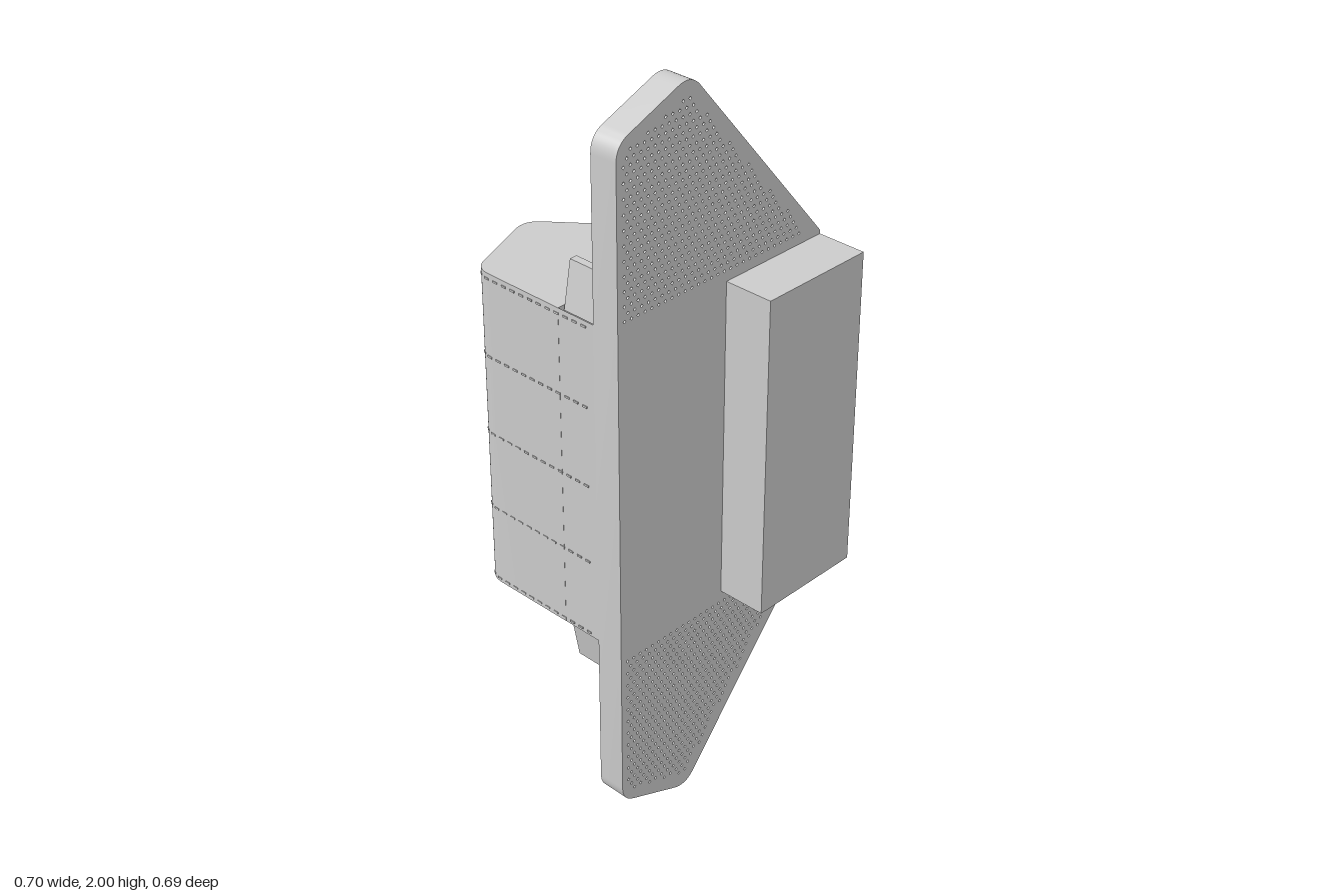
import * as THREE from 'three';
import { mergeGeometries, toCreasedNormals } from 'three/addons/utils/BufferGeometryUtils.js';

const grey = new THREE.MeshStandardMaterial({ color: 0xcccccc });
const sheet = new THREE.MeshStandardMaterial({ color: 0xcccccc, side: THREE.DoubleSide });

// Closed polygon; each corner is [x, y, rounding length]
function roundedPolygon(corners) {
  const shape = new THREE.Shape();
  const n = corners.length;
  corners.forEach(([x, y, r = 0], i) => {
    const toward = ([px, py]) => {
      const d = Math.hypot(px - x, py - y);
      return [x + ((px - x) * r) / d, y + ((py - y) * r) / d];
    };
    const a = toward(corners[(i + n - 1) % n]);
    const b = toward(corners[(i + 1) % n]);
    if (i === 0) shape.moveTo(...a); else shape.lineTo(...a);
    if (r > 0) shape.quadraticCurveTo(x, y, ...b);
  });
  shape.closePath();
  return shape;
}

function extrude(shape, depth) {
  const g = new THREE.ExtrudeGeometry(shape, { depth, bevelEnabled: false, curveSegments: 8 });
  return toCreasedNormals(g, 0.5);
}

// Plan shapes are drawn as (x, -z) and extruded upwards
function extrudeUp(shape, y0, y1) {
  return extrude(shape, y1 - y0).rotateX(-Math.PI / 2).translate(0, y0, 0);
}

export function createModel() {
  const model = new THREE.Group();
  const add = (name, geometry, material = grey) => {
    const mesh = new THREE.Mesh(geometry, material);
    mesh.name = name;
    model.add(mesh);
    return mesh;
  };
  const bottom = 0.555, top = 1.45;

  // Front plate with perforated ends
  const plate = roundedPolygon([
    [0.345, 0.54], [0.345, 1.46], [-0.116, 2.012, 0.045], [-0.35, 1.918, 0.042],
    [-0.35, 0.082, 0.042], [-0.116, -0.012, 0.045],
  ]);
  for (let row = 0; row < 26; row++) {
    const y = 1.48 + row * 0.019;
    for (let col = 0; col < 30; col++) {
      const x = -0.328 + col * 0.022 + (row % 2) * 0.011;
      const roof = Math.min(1.918 + 0.37 * (x + 0.35) - 0.035, 1.46 + 1.197 * (0.345 - x) - 0.05);
      if (y > roof) continue;
      for (const cy of [y, 2 - y]) {
        const hole = new THREE.Path();
        const r = 0.0045;
        hole.moveTo(x + r, cy);
        hole.lineTo(x, cy - r);
        hole.lineTo(x - r, cy);
        hole.lineTo(x, cy + r);
        hole.closePath();
        plate.holes.push(hole);
      }
    }
  }
  add('frontPlate', extrude(plate, 0.01).translate(0, 0, 0.198));

  // Flange bent back along the outer edge of the plate
  const flange = roundedPolygon([
    [-0.085, 1.975], [-0.116, 2.012, 0.045], [-0.35, 1.918, 0.042],
    [-0.35, 0.082, 0.042], [-0.116, -0.012, 0.045], [-0.085, 0.025],
    [-0.092, 0.032], [-0.118, 0, 0.04], [-0.341, 0.089, 0.036],
    [-0.341, 1.911, 0.036], [-0.118, 2, 0.04], [-0.092, 1.968],
  ]);
  add('plateFlange', extrude(flange, 0.078).translate(0, 0, 0.13));

  // Housing with the front block, leaving a vertical channel behind the plate
  const housing = roundedPolygon([
    [0.01, -0.345], [0.345, -0.345], [0.345, -0.195], [-0.106, 0.358, 0.045],
    [-0.35, 0.262, 0.042], [-0.35, -0.015], [0.01, -0.015],
  ]);
  add('housing', extrudeUp(housing, bottom, top));

  // Thin outer wall closing the side of the channel
  const wall = new THREE.PlaneGeometry(0.185, top - bottom).rotateY(-Math.PI / 2);
  add('channelSideWall', wall.translate(-0.3495, (top + bottom) / 2, 0.1075), sheet);

  // Dashed seams wrapped around the back of the housing
  const seamPath = new THREE.Path();
  seamPath.moveTo(0.34, 0.189);
  seamPath.lineTo(-0.078, -0.323);
  seamPath.quadraticCurveTo(-0.106, -0.358, -0.148, -0.341);
  seamPath.lineTo(-0.311, -0.277);
  seamPath.quadraticCurveTo(-0.35, -0.262, -0.35, -0.22);
  seamPath.lineTo(-0.35, 0.12);
  const points = seamPath.getSpacedPoints(90);
  const dashes = [];
  for (const y of [1.435, 1.22, 1.0, 0.78, 0.565]) {
    for (let i = 0; i < 90; i += 2) {
      const p = points[i], q = points[i + 1];
      const dash = new THREE.BoxGeometry(p.distanceTo(q), 0.005, 0.004);
      dash.rotateY(-Math.atan2(q.y - p.y, q.x - p.x));
      dashes.push(dash.translate((p.x + q.x) / 2, y, (p.y + q.y) / 2));
    }
  }
  add('housingSeams', mergeGeometries(dashes));

  // Folded clips standing out of both ends of the channel
  const clip = roundedPolygon([
    [-0.335, 1.44], [-0.326, 1.44], [-0.305, 1.548], [-0.3, 1.548], [-0.279, 1.44],
    [-0.268, 1.44], [-0.292, 1.565], [-0.313, 1.565],
  ]);
  const clipGeometry = extrude(clip, 0.178).translate(0, 0, 0.02);
  add('topClip', clipGeometry);
  const bottomClip = add('bottomClip', clipGeometry);
  bottomClip.rotation.z = Math.PI;
  bottomClip.position.set(-0.603, 2, 0);

  // Forked stay in the channel, with its pin passing out through the back
  const fork = new THREE.Shape();
  fork.moveTo(-0.008, -0.01);
  fork.lineTo(-0.008, -0.055);
  fork.quadraticCurveTo(-0.012, -0.09, -0.044, -0.13);
  fork.lineTo(-0.075, -0.198);
  fork.lineTo(-0.06, -0.198);
  fork.lineTo(-0.033, -0.13);
  fork.quadraticCurveTo(0, -0.082, 0.033, -0.13);
  fork.lineTo(0.06, -0.198);
  fork.lineTo(0.075, -0.198);
  fork.lineTo(0.044, -0.13);
  fork.quadraticCurveTo(0.012, -0.09, 0.008, -0.055);
  fork.lineTo(0.008, -0.01);
  fork.closePath();
  const pinX = -0.22, pinY = 1.33;
  add('forkedStay', extrudeUp(fork, pinY - 0.008, pinY + 0.008).translate(pinX, 0, 0));
  const pin = new THREE.CylinderGeometry(0.007, 0.007, 0.35, 12).rotateX(-Math.PI / 2);
  add('stayPin', pin.translate(pinX, pinY, -0.16));
  const tip = new THREE.ConeGeometry(0.009, 0.01, 12).rotateX(-Math.PI / 2);
  add('pinTip', tip.translate(pinX, pinY, -0.34));

  return model;
}
